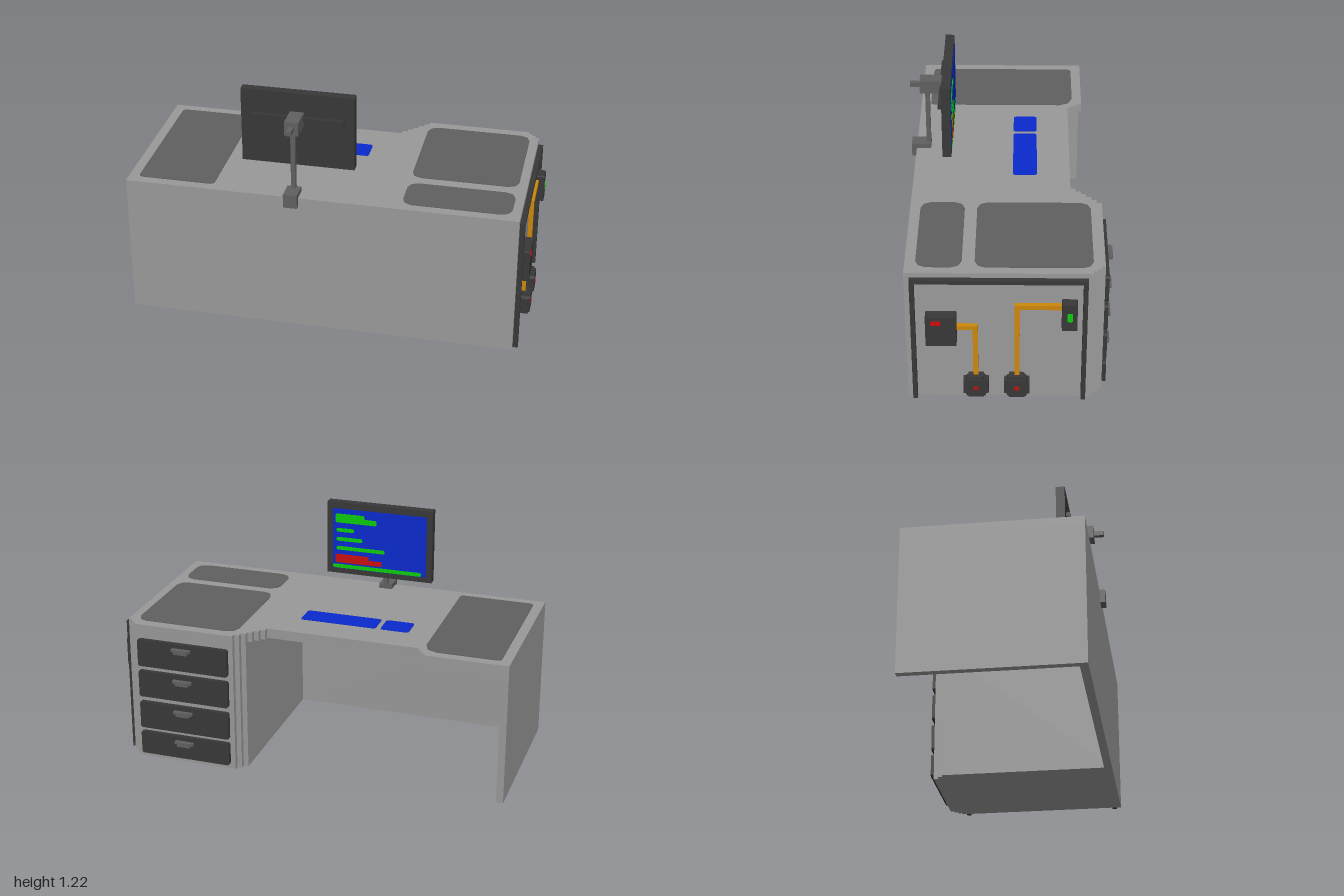
import * as THREE from 'three';

const mat = (name, color) => {
  const m = new THREE.MeshStandardMaterial({ color });
  m.name = name;
  return m;
};

export function createModel() {
  const body = mat('light grey', 0x999999);
  const mid = mat('mid grey', 0x606060);
  const dark = mat('dark grey', 0x383838);
  const blue = mat('blue', 0x0a2acc);
  const green = mat('green', 0x0ccc0c);
  const red = mat('red', 0xcc0c0c);
  const orange = mat('orange', 0xcc880c);
  const root = new THREE.Group();
  root.name = 'desk';

  const add = (name, geo, material, parent = root) => {
    const m = new THREE.Mesh(geo, material);
    m.name = name;
    parent.add(m);
    return m;
  };
  // Box given by its limits on each axis
  const box = (name, material, x0, x1, y0, y1, z0, z1, parent) => {
    const g = new THREE.BoxGeometry(x1 - x0, y1 - y0, z1 - z0);
    g.translate((x0 + x1) / 2, (y0 + y1) / 2, (z0 + z1) / 2);
    return add(name, g, material, parent);
  };
  const extrude = (pts, depth) => new THREE.ExtrudeGeometry(
    new THREE.Shape(pts.map(p => new THREE.Vector2(p[0], p[1]))), { depth, bevelEnabled: false });
  // Rectangle with cut corners: c = [x0y0, x1y0, x1y1, x0y1]
  const cutRect = (x0, x1, y0, y1, c) => {
    const [a, b, d, e] = Array.isArray(c) ? c : [c, c, c, c];
    const k = 0.3; // extra corner point softens the cut
    return [[x0, y0 + a], [x0 + a * k, y0 + a * k], [x0 + a, y0], [x1 - b, y0],
      [x1 - b * k, y0 + b * k], [x1, y0 + b], [x1, y1 - d], [x1 - d * k, y1 - d * k],
      [x1 - d, y1], [x0 + e, y1], [x0 + e * k, y1 - e * k], [x0, y1 - e]];
  };
  // Horizontal slab from an outline in (x, -z)
  const slab = (name, material, pts, y0, y1) => {
    const g = extrude(pts, y1 - y0);
    g.rotateX(-Math.PI / 2);
    g.translate(0, y0, 0);
    return add(name, g, material);
  };
  // Plate on the right side from an outline in (-z, y)
  const sidePlate = (name, material, pts, x0, x1) => {
    const g = extrude(pts, x1 - x0);
    g.rotateY(Math.PI / 2);
    g.translate(x0, 0, 0);
    return add(name, g, material);
  };
  // Staircase points; rising corners stay square
  const steps = (x0, d0, x1, d1, n) => {
    const out = [[x0, d0]];
    for (let i = 1; i <= n; i++) {
      const x = x0 + (x1 - x0) * i / n, d = d0 + (d1 - d0) * i / n;
      const px = x0 + (x1 - x0) * (i - 1) / n, pd = d0 + (d1 - d0) * (i - 1) / n;
      out.push(d1 > d0 ? [px, d] : [x, pd], [x, d]);
    }
    return out;
  };

  // Worktop, drawer pedestal, leg and front panel
  const R = 0.945, F = 0.475, H = 0.73, T = 0.68;
  const corner = steps(0.87, 0.455, R, 0.38, 4);
  slab('worktop', body, [[-1, -F], [-1, 0.38], ...steps(-0.6, 0.38, -0.54, 0.305, 4),
    ...steps(0.24, 0.305, 0.39, 0.455, 6), ...corner, [R, -F]], T, H);
  slab('pedestal', body, [[0.315, -F], ...steps(0.315, 0.38, 0.39, 0.455, 3), ...corner, [R, -F]], 0, T);
  box('sideLeg', body, -1, -0.964, 0, T, -0.38, F);
  box('frontPanel', body, -0.964, 0.315, 0, T, 0.435, F);

  // Desk mats and flat input pads
  const top = (name, m, x0, x1, z0, z1, c) =>
    slab(name, m, cutRect(x0, x1, -z1, -z0, c), H, H + 0.003);
  top('matWide', mid, -0.95, -0.565, -0.33, 0.425, [0.02, 0.02, 0.07, 0.02]);
  top('matLarge', mid, 0.37, 0.9, -0.4, 0.15, 0.05);
  top('matSmall', mid, 0.37, 0.9, 0.21, 0.425, 0.05);
  top('keyboard', blue, -0.27, 0.12, -0.14, 0.02 - 0.04, 0.012);
  top('mousePad', blue, -0.44, -0.295, -0.14, -0.02, 0.012);

  // Drawers with handles
  [[0.513, 0.658], [0.345, 0.487], [0.171, 0.316], [0.026, 0.148]].forEach(([y0, y1]) => {
    const g = new THREE.Group();
    g.name = 'drawer';
    root.add(g);
    const front = extrude(cutRect(0.39, 0.87, y0, y1, 0.01), 0.022);
    front.translate(0, 0, -0.476);
    add('drawerFront', front, dark, g);
    const h = y1 - 0.035;
    box('handleGrip', mid, 0.595, 0.665, h - 0.012, h + 0.012, -0.5, -0.476, g);
    [0.58, 0.665].forEach(x =>
      box('handleEnd', mid, x, x + 0.015, h - 0.002, h + 0.012, -0.495, -0.476, g));
  });

  // Raised frame on the right side
  sidePlate('sideFrame', dark, [[-0.45, 0], [-0.45, 0.705], [0.375, 0.705], [0.375, 0],
    [0.353, 0], [0.353, 0.683], [-0.428, 0.683], [-0.428, 0]], R, 0.97);

  // Switch boxes, sockets and the conduits between them
  sidePlate('controlBox', dark, cutRect(-0.38, -0.235, 0.345, 0.512, 0.004), R, 0.997);
  sidePlate('controlLight', red, cutRect(-0.355, -0.307, 0.466, 0.49, 0.007), 0.997, 1);
  sidePlate('switchBox', dark, cutRect(0.255, 0.327, 0.44, 0.585, 0.004), R, 0.997);
  sidePlate('switchLight', green, cutRect(0.28, 0.306, 0.493, 0.54, 0.006), 0.997, 1);
  const cross = (cz, cy, a, b) => [[-a, -b], [-b, -b], [-b, -a], [b, -a], [b, -b], [a, -b],
    [a, b], [b, b], [b, a], [-b, a], [-b, b], [-a, b]].map(([u, v]) => [u - cz, v + cy]);
  [0.147, -0.047].forEach(z => {
    sidePlate('socket', dark, cross(z, 0.088, 0.06, 0.037), R, 0.988);
    sidePlate('socketCore', dark, cutRect(-z - 0.048, -z + 0.048, 0.04, 0.136, 0.012), R, 0.997);
    sidePlate('socketLight', red, cross(z, 0.088, 0.013, 0.005), 0.997, 1);
  });
  sidePlate('conduitShort', orange, [[-0.235, 0.417], [-0.16, 0.417], [-0.16, 0.145],
    [-0.136, 0.145], [-0.136, 0.44], [-0.235, 0.44]], R, 0.968);
  sidePlate('conduitLong', orange, [[0.035, 0.145], [0.06, 0.145], [0.06, 0.538],
    [0.255, 0.538], [0.255, 0.562], [0.035, 0.562]], R, 0.968);

  // Monitor with screen facing the drawers' side
  const monitor = new THREE.Group();
  monitor.name = 'monitor';
  root.add(monitor);
  box('monitorCase', dark, -0.44, 0.12, 0.835, 1.22, 0.285, 0.33, monitor);
  box('mountBar', dark, -0.39, 0.07, 1.078, 1.1, 0.33, 0.35, monitor);
  // Screen areas: u from the viewer's left, v down from the top
  const screen = (name, m, u0, u1, v0, v1, c, z) => {
    const g = extrude(cutRect(0.12 - u1, 0.12 - u0, 1.22 - v1, 1.22 - v0, c), 0.285 - z);
    g.translate(0, 0, z);
    add(name, g, m, monitor);
  };
  screen('screen', blue, 0.03, 0.53, 0.033, 0.357, 0.004, 0.283);
  [[0.045, 0.2, 0.06, 0.088], [0.045, 0.265, 0.08, 0.108], [0.05, 0.145, 0.138, 0.158],
    [0.05, 0.19, 0.187, 0.207], [0.05, 0.31, 0.236, 0.256]].forEach(r =>
    screen('textLine', green, ...r, 0.008, 0.281));
  screen('warningLine', red, 0.045, 0.225, 0.28, 0.306, 0.008, 0.281);
  screen('warningLine', red, 0.045, 0.295, 0.3, 0.326, 0.008, 0.281);
  screen('statusBar', green, 0.032, 0.505, 0.335, 0.355, 0.006, 0.281);

  // Monitor arm and desk clamp
  const arm = (name, ...r) => box(name, mid, ...r, monitor);
  arm('armBlock', -0.197, -0.128, 1.053, 1.122, 0.33, 0.45);
  arm('armKnob', -0.174, -0.151, 1.076, 1.1, 0.45, 0.5);
  arm('pole', -0.174, -0.151, 0.755, 1.053, 0.402, 0.425);
  arm('clampTop', -0.197, -0.128, H, 0.755, 0.402, 0.475);
  arm('clampJaw', -0.197, -0.128, 0.685, 0.755, 0.475, 0.5);

  return root;
}
